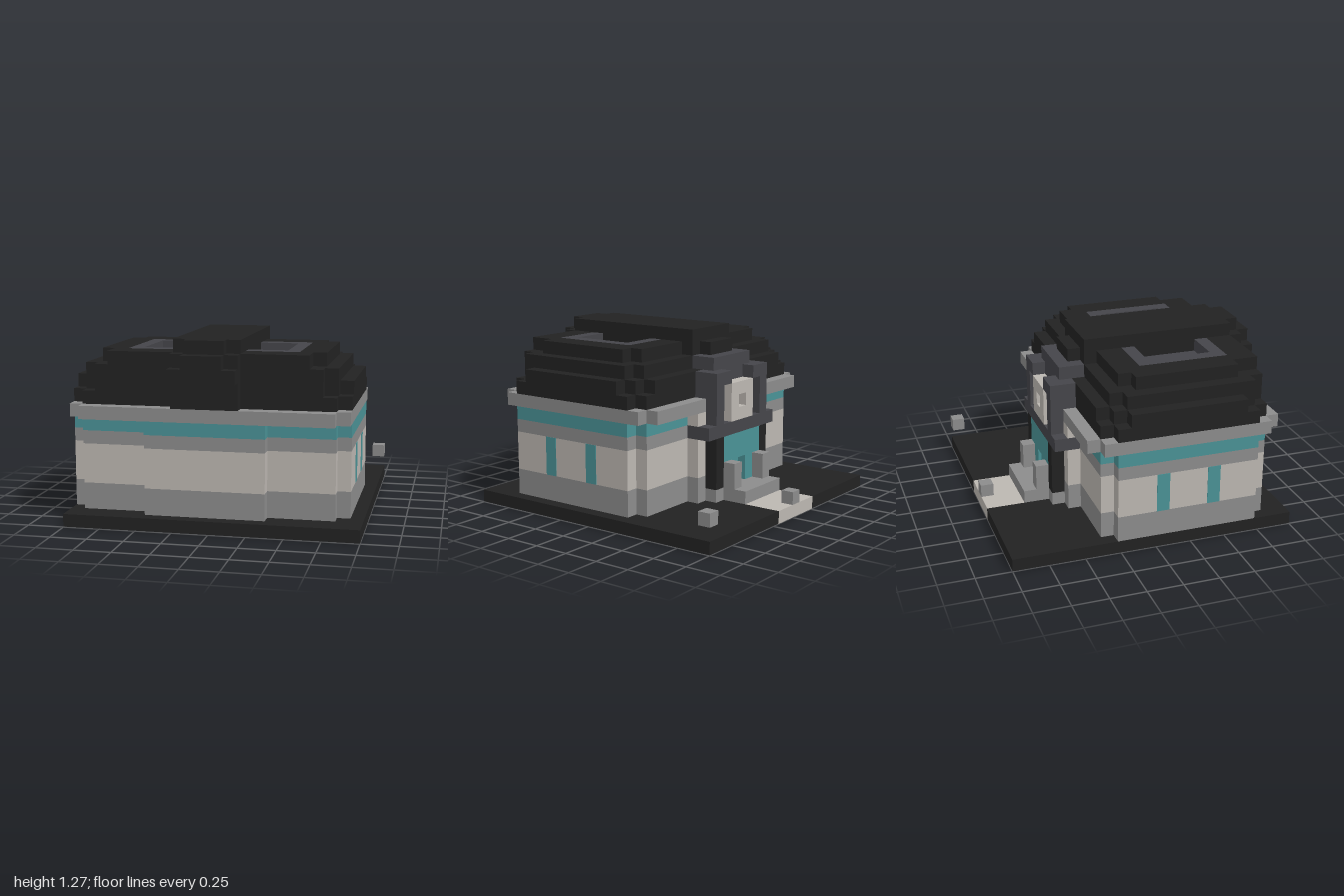
import * as THREE from 'three';

const U = 1 / 11; // one block

const mat = (name, color) => {
  const m = new THREE.MeshStandardMaterial({ color });
  m.name = name;
  return m;
};

export function createModel() {
  const root = new THREE.Group();
  root.name = 'blockHall';
  const black = mat('black', 0x222222);
  const gray = mat('stoneGray', 0x8c8c8c);
  const beige = mat('paleStone', 0xbcb7b1);
  const teal = mat('teal', 0x4a9296);
  const dark = mat('darkGray', 0x45454a);
  const brown = mat('brown', 0x6c523e);
  const rust = mat('rust', 0x783820);

  // Block from [x0, x1], [y0, y1], [z0, z1] in block units
  const box = (name, m, x, y, z) => {
    const g = new THREE.BoxGeometry((x[1] - x[0]) * U, (y[1] - y[0]) * U, (z[1] - z[0]) * U);
    const mesh = new THREE.Mesh(g, m);
    mesh.position.set((x[0] + x[1]) / 2 * U, (y[0] + y[1]) / 2 * U, (z[0] + z[1]) / 2 * U);
    mesh.name = name;
    root.add(mesh);
  };
  // Same block on both sides of the building's axis, x = -0.5
  const pair = (name, m, x, y, z) => {
    box(name + 'Right', m, x, y, z);
    box(name + 'Left', m, [-1 - x[1], -1 - x[0]], y, z);
  };

  // Ground slab and entrance path
  const B = 0.04;
  box('groundRight', black, [-11, -3], [B, 1], [-11, 11]);
  box('groundLeft', black, [2, 11], [B, 1], [-11, 11]);
  box('groundMiddle', black, [-3, 2], [B, 1], [-8, 11]);
  box('path', beige, [-3, 2], [0, 1], [-11, -8]);

  // Floor colours showing under the slab
  pair('floorSide', brown, [-10.3, -9], [0.02, B], [-1.5, 7]);
  pair('floorEdge', brown, [-9, -4], [0.02, B], [-4, 8.7]);
  box('floorMiddle', brown, [-4, 3], [0.02, B], [-7, 8]);
  pair('floorRust', rust, [-9.3, -4], [0, B], [-3.5, 7.6]);
  box('floorStone', gray, [-3, 2], [0, B], [-1, 3]);
  pair('floorStrip', gray, [-4, -3.4], [0, B], [4.5, 7.6]);

  // Banded walls with notched corners and a projecting front and back bay
  const bands = [
    ['plinth', gray, 1, 3, gray],
    ['wall', beige, 3, 6, beige],
    ['band', gray, 6, 7, dark],
    ['glassBand', teal, 7, 8, beige],
  ];
  for (const [name, m, y0, y1, bay] of bands) {
    box(name + 'Wide', m, [-11, 10], [y0, y1], [-3, 8]);
    box(name + 'Deep', m, [-10, 9], [y0, y1], [-4, 9]);
    box(name + 'FrontBay', m, [-5, 4], [y0, y1], [9, 10]);
    box(name + 'BackBay', bay, [-5, 4], [y0, y1], [-5, -4]);
  }
  box('corniceWide', gray, [-11, 10], [8, 9], [-4, 9]);
  box('corniceDeep', gray, [-10, 9], [8, 9], [-5, 10]);

  // Side windows
  for (const z of [0, 4]) pair('sideWindow', teal, [-11.03, -10.95], [3, 6], [z, z + 1]);

  // Stepped roof
  const layers = [
    [9, [-11, 10, -3, 8], [-10, 9, -4, 9]],
    [10, [-11, 10, -2, 7], [-10, 9, -3, 8], [-9, 8, -4, 9]],
    [11, [-10, 9, -2, 8], [-9, 8, -3, 9]],
  ];
  for (const [y, ...rects] of layers)
    for (const [x0, x1, z0, z1] of rects) box('roofLayer', black, [x0, x1], [y, y + 1], [z0, z1]);

  // Top roof layer around the two sunken wells
  pair('roofTopSide', black, [-9, -7], [12, 13], [-1, 7]);
  pair('roofTopFront', black, [-8, -3], [12, 13], [7, 9]);
  pair('roofTopBack', black, [-8, -3], [12, 13], [-2, 0]);
  pair('wellSide', dark, [-7, -6], [12, 13], [0, 7]);
  pair('wellFront', dark, [-6, -3], [12, 13], [6, 7]);
  pair('wellBack', dark, [-6, -3], [12, 13], [0, 1]);
  pair('wellFloor', dark, [-6, -3], [12, 12.05], [1, 6]);

  // Central ridge
  box('ridge', black, [-3, 2], [9, 14], [-3, 9]);
  box('ridgeFront', black, [-3, 2], [9, 13], [9, 10]);
  box('ridgeFrontCap', black, [-2, 1], [13, 14], [9, 10]);
  box('ridgeNose', black, [-3, 2], [11, 12], [10, 11]);
  box('ridgeNoseCap', black, [-2, 1], [12, 13], [10, 11]);
  box('ridgeBack', black, [-2, 1], [9, 13], [-4, -3]);

  // Back gable frame
  box('entranceLedge', dark, [-5, 4], [6, 7], [-6, -5]);
  pair('framePost', dark, [-4, -3], [7, 11], [-6, -5]);
  pair('frameCorner', dark, [-3, -2], [10, 11], [-6, -5]);
  box('frameBacking', dark, [-4, 3], [9, 11], [-5, -4]);
  box('frameBeam', dark, [-3, 2], [11, 12], [-5, -4]);
  pair('frameBracket', dark, [-3, -2], [11, 12], [-4, -3]);

  // Pale square surround with an open centre
  pair('surroundSide', beige, [-2, -1], [7, 10], [-6, -5]);
  box('surroundTop', beige, [-1, 0], [9, 10], [-6, -5]);
  box('surroundBottom', beige, [-1, 0], [7, 8], [-6, -5]);

  // Entrance
  pair('doorPillar', black, [-4, -3], [2, 6], [-6, -5]);
  pair('doorGlass', teal, [-3, -1], [2, 6], [-6, -5]);
  box('doorGlassTop', teal, [-1, 0], [4, 6], [-6, -5]);
  box('doorSill', gray, [-4, 3], [1, 2], [-6, -5]);
  box('step', gray, [-3, 2], [1, 2], [-8, -6]);
  pair('stepPost', gray, [-3, -2], [2, 4], [-7, -6]);
  box('bollard', gray, [-1, 0], [1, 2], [-11, -10]);
  box('floatingCube', gray, [10, 11], [2, 3], [-11, -10]);

  return root;
}
